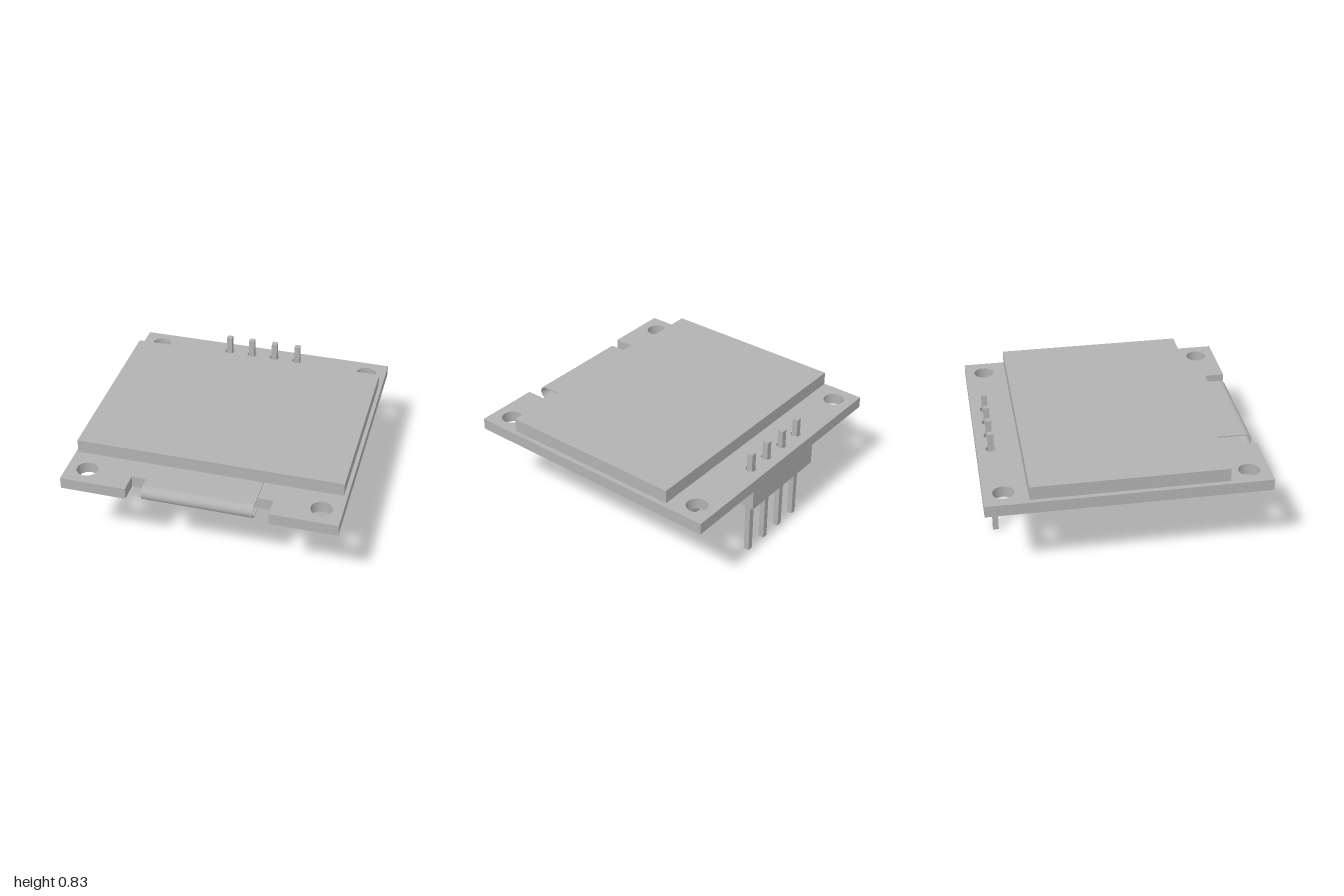
import * as THREE from 'three';
import { toCreasedNormals } from 'three/addons/utils/BufferGeometryUtils.js';

const grey = new THREE.MeshStandardMaterial({ color: 0xb2b2b2 });
grey.name = 'plain grey';

const PIN_X = [-0.275, -0.092, 0.092, 0.275];
const PIN_Z = -0.895;

export function createModel() {
  const model = new THREE.Group();
  model.name = 'displayModule';

  const add = (name, geometry) => {
    const mesh = new THREE.Mesh(geometry, grey);
    mesh.name = name;
    model.add(mesh);
  };
  // Box given by its limits on each axis
  const box = (name, x0, x1, y0, y1, z0, z1) => {
    const g = new THREE.BoxGeometry(x1 - x0, y1 - y0, z1 - z0);
    g.translate((x0 + x1) / 2, (y0 + y1) / 2, (z0 + z1) / 2);
    add(name, g);
  };

  // Circuit board: outline in x and z with a notch at the front edge
  const outline = new THREE.Shape([
    [-0.985, -1], [0.985, -1], [0.985, 1], [0.507, 1],
    [0.507, 0.855], [-0.51, 0.855], [-0.51, 1], [-0.985, 1],
  ].map(([x, z]) => new THREE.Vector2(x, z)));
  const hole = (x, z, r) => {
    const path = new THREE.Path();
    path.absarc(x, z, r, 0, Math.PI * 2, true);
    outline.holes.push(path);
  };
  for (const x of [-0.838, 0.838]) for (const z of [-0.858, 0.854]) hole(x, z, 0.075);
  for (const x of PIN_X) hole(x, PIN_Z, 0.037);
  const board = new THREE.ExtrudeGeometry(outline, { depth: 0.085, bevelEnabled: false, curveSegments: 20 });
  board.rotateX(Math.PI / 2).translate(0, 0.7, 0);
  add('circuitBoard', toCreasedNormals(board, 0.6));

  // Display glass, its spacer and the plate under the board
  box('spacer', -0.89, 0.887, 0.7, 0.71, -0.615, 0.62);
  box('screen', -0.965, 0.96, 0.71, 0.81, -0.692, 0.692);
  box('lowerPlate', -0.795, 0.79, 0.535, 0.615, -0.768, 0.08);

  // Flat cable folded round the front edge, profile in z and y
  const profile = new THREE.Shape();
  const cy = 0.6575, cz = 0.938;
  profile.moveTo(0.43, 0.605);
  profile.lineTo(cz, 0.605);
  profile.absarc(cz, cy, 0.0525, -Math.PI / 2, Math.PI / 2, false);
  profile.lineTo(0.62, 0.71);
  profile.lineTo(0.62, 0.7);
  profile.lineTo(cz, 0.7);
  profile.absarc(cz, cy, 0.0425, Math.PI / 2, -Math.PI / 2, true);
  profile.lineTo(0.43, 0.615);
  const cable = new THREE.ExtrudeGeometry(profile, { depth: 0.795, bevelEnabled: false, curveSegments: 20 });
  cable.rotateY(-Math.PI / 2).translate(0.395, 0, 0);
  add('flatCable', toCreasedNormals(cable, 0.6));

  // Pin header: block below the board and four square pins
  box('headerBlock', -0.367, 0.364, 0.437, 0.615, -0.983, -0.8);
  for (const x of PIN_X) box('pin', x - 0.021, x + 0.021, 0, 0.83, PIN_Z - 0.021, PIN_Z + 0.021);

  return model;
}
